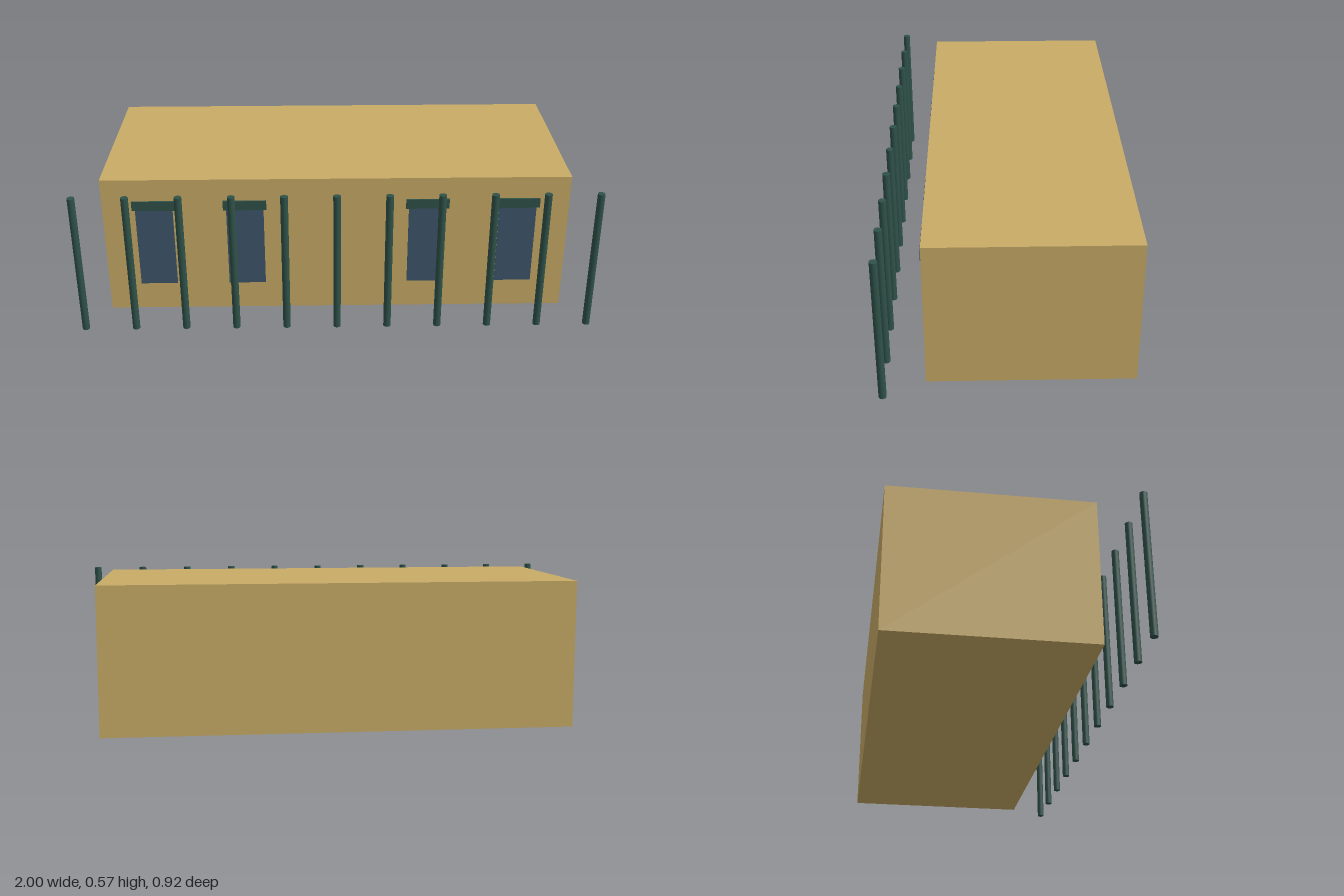
import * as THREE from 'three';

const HEIGHT = 0.57;
const FRONT_Z = 0.298;
const BACK_Z = -0.462;

function material(name, color) {
  const m = new THREE.MeshStandardMaterial({ color });
  m.name = name;
  return m;
}

export function createModel() {
  const model = new THREE.Group();
  model.name = 'colonnadeBuilding';

  const sand = material('sand wall', 0xc8ab66);
  const blue = material('slate blue glass', 0x3d566b);
  const green = material('dark green trim', 0x2f5249);

  function add(name, geometry, mat, x, y, z, parent = model) {
    const mesh = new THREE.Mesh(geometry, mat);
    mesh.name = name;
    mesh.position.set(x, y, z);
    parent.add(mesh);
  }

  // Plain block of the building
  add('building', new THREE.BoxGeometry(1.814, HEIGHT, FRONT_Z - BACK_Z), sand,
    0, HEIGHT / 2, (FRONT_Z + BACK_Z) / 2);

  // Four tall windows, each with a projecting lintel
  const glass = new THREE.BoxGeometry(0.145, 0.335, 0.006);
  const lintel = new THREE.BoxGeometry(0.168, 0.039, 0.007);
  for (const x of [-0.707, -0.355, 0.355, 0.707]) {
    const bay = new THREE.Group();
    bay.name = 'windowBay';
    bay.position.x = x;
    add('window', glass, blue, 0, 0.283, FRONT_Z + 0.002, bay);
    add('lintel', lintel, green, 0, 0.4625, FRONT_Z + 0.0068, bay);
    model.add(bay);
  }

  // Row of slim posts in front of the building
  const post = new THREE.CylinderGeometry(0.0145, 0.0145, HEIGHT, 12);
  for (let i = -5; i <= 5; i++) {
    add('post', post, green, i * 0.197, HEIGHT / 2, 0.447);
  }

  return model;
}
